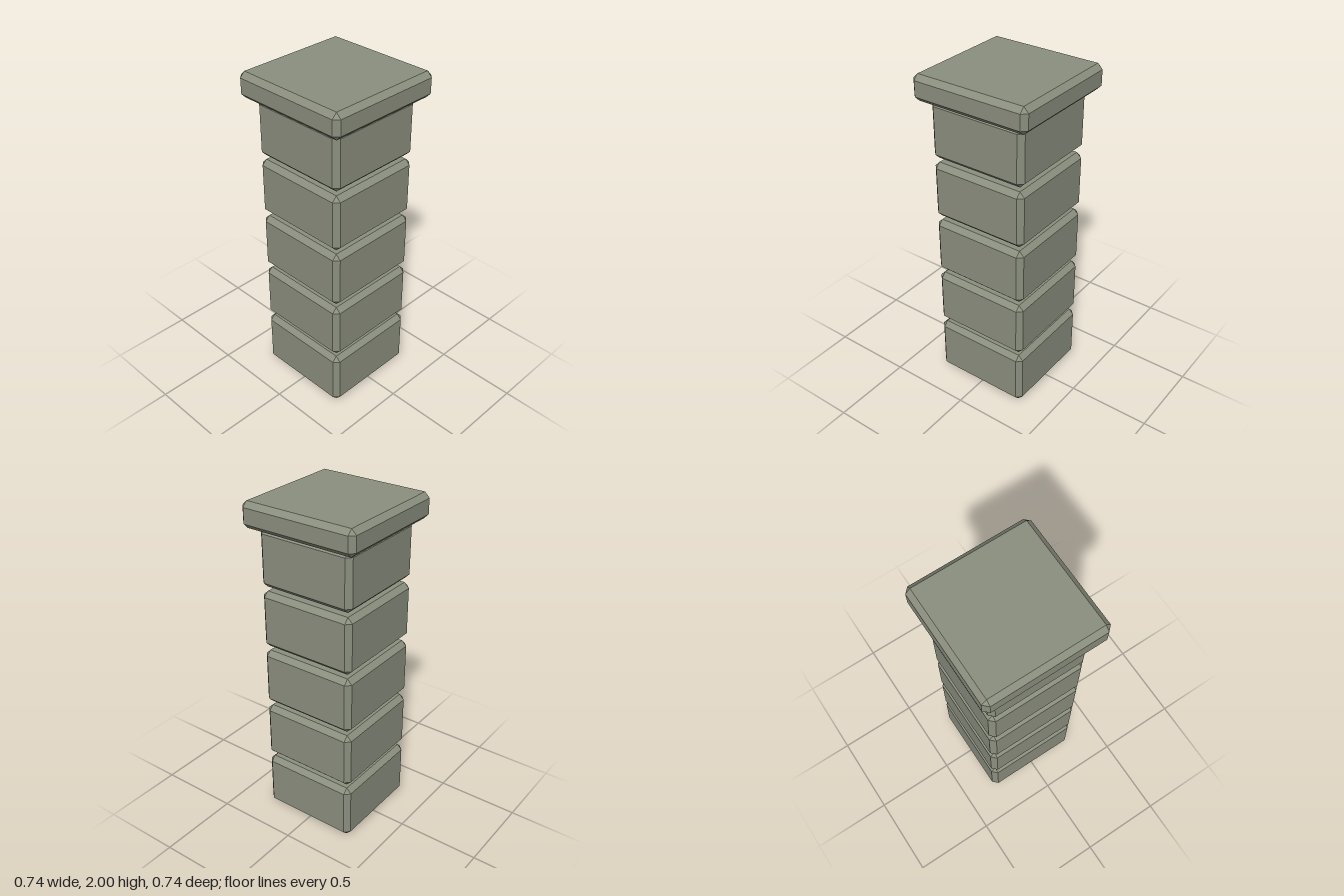
import * as THREE from 'three';
import { ConvexGeometry } from 'three/addons/geometries/ConvexGeometry.js';

const stone = new THREE.MeshStandardMaterial({ color: 0x8b8f7e });
stone.name = 'stone';

// Box with every edge cut at 45 degrees and a small triangle at each corner
function chamferedBox(width, height, depth, cut) {
  const [x, y, z] = [width / 2, height / 2, depth / 2];
  const points = [];
  for (const sx of [-1, 1]) for (const sy of [-1, 1]) for (const sz of [-1, 1]) {
    points.push(
      new THREE.Vector3(sx * x, sy * (y - cut), sz * (z - cut)),
      new THREE.Vector3(sx * (x - cut), sy * y, sz * (z - cut)),
      new THREE.Vector3(sx * (x - cut), sy * (y - cut), sz * z)
    );
  }
  return new ConvexGeometry(points);
}

export function createModel() {
  const pillar = new THREE.Group();
  pillar.name = 'stonePillar';

  const cut = 0.03;
  const blockHeight = 0.348;
  const pitch = 0.375;
  const count = 5;

  // Shaft: equal blocks separated by narrow open gaps
  const blockGeometry = chamferedBox(0.608, blockHeight, 0.608, cut);
  for (let i = 0; i < count; i++) {
    const block = new THREE.Mesh(blockGeometry, stone);
    block.name = `shaftBlock${i + 1}`;
    block.position.y = i * pitch + blockHeight / 2;
    pillar.add(block);
  }

  // Wider cap slab resting on the top block
  const capBottom = (count - 1) * pitch + blockHeight;
  const capHeight = 2 - capBottom;
  const cap = new THREE.Mesh(chamferedBox(0.737, capHeight, 0.737, cut), stone);
  cap.name = 'capSlab';
  cap.position.y = capBottom + capHeight / 2;
  pillar.add(cap);

  return pillar;
}
